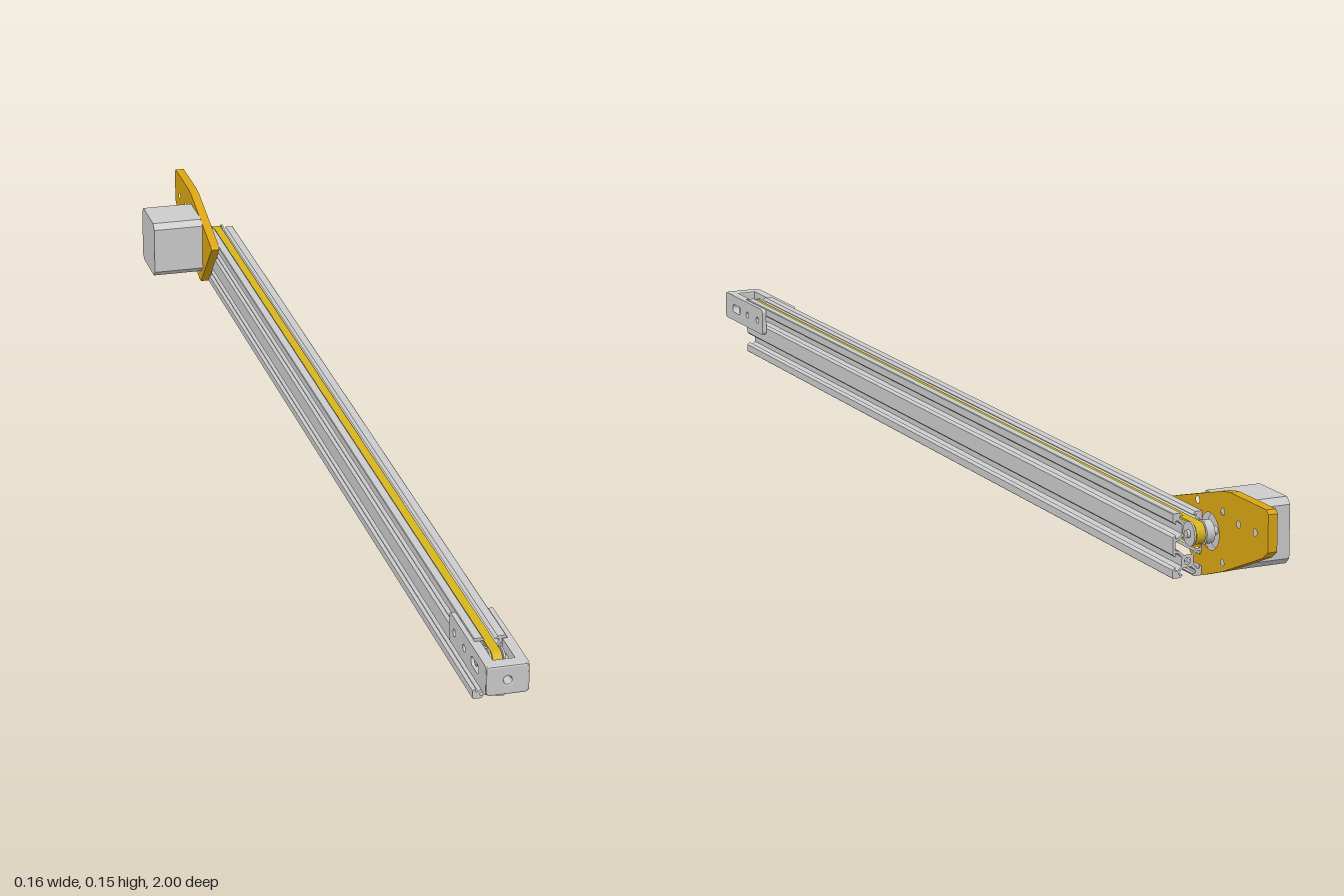
import * as THREE from 'three';

const MM = 0.0025;           // model units per millimetre
const CX = 0.047;            // centre line of the rail
const AXIS_Y = 0.0745;       // height of both pulley axes
const MOTOR_Z = -0.825, IDLER_Z = 0.935;

const grey = new THREE.MeshStandardMaterial({ color: 0xcccccc });
const gold = new THREE.MeshStandardMaterial({ color: 0xdaa514 });
const yellow = new THREE.MeshStandardMaterial({ color: 0xd8b51c });

const toShape = pts => new THREE.Shape(pts.map(p => new THREE.Vector2(p[0], p[1])));
const circle = (x, y, r) => new THREE.Path().absarc(x, y, r, 0, Math.PI * 2, true);

// Rounded slot along the first axis, half length h and end radius r
function slot(x, y, h, r, Kind = THREE.Path) {
  const p = new Kind();
  p.absarc(x + h, y, r, -Math.PI / 2, Math.PI / 2, false);
  p.absarc(x - h, y, r, Math.PI / 2, Math.PI * 1.5, false);
  p.closePath();
  return p;
}

function roundRect(x0, y0, x1, y1, r) {
  const s = new THREE.Shape();
  s.absarc(x1 - r, y0 + r, r, -Math.PI / 2, 0, false);
  s.absarc(x1 - r, y1 - r, r, 0, Math.PI / 2, false);
  s.absarc(x0 + r, y1 - r, r, Math.PI / 2, Math.PI, false);
  s.absarc(x0 + r, y0 + r, r, Math.PI, Math.PI * 1.5, false);
  s.closePath();
  return s;
}

// Extrudes a (z, y) outline sideways from x0 to x1
function sideways(shape, x0, x1) {
  const g = new THREE.ExtrudeGeometry(shape, { depth: x1 - x0, bevelEnabled: false, curveSegments: 16 });
  return g.rotateY(-Math.PI / 2).translate(x1, 0, 0);
}

// Cylinder lying along x
function axle(r, x0, x1, y, z, sides = 32) {
  return new THREE.CylinderGeometry(r, r, x1 - x0, sides).rotateZ(Math.PI / 2).translate((x0 + x1) / 2, y, z);
}

// Double slotted profile, mirrored from one quarter
function railGeometry() {
  const q = [[2.8, 13.9], [5.5, 16.6], [5.5, 18.2], [3.1, 18.2], [4.7, 20], [9.6, 20], [10, 19.6],
    [10, 14.7], [8.2, 13.1], [8.2, 15.5], [6.6, 15.5], [3.9, 12.8], [3.9, 7.2], [6.6, 4.5],
    [8.2, 4.5], [8.2, 6.9], [10, 5.3]];
  const mirror = (sx, sy) => q.map(([x, y]) => [x * sx, y * sy]);
  const outline = [...mirror(1, 1), ...mirror(1, -1).reverse(), ...mirror(-1, -1), ...mirror(-1, 1).reverse()];
  const s = toShape(outline);
  s.holes.push(circle(0, 10, 2.1), circle(0, -10, 2.1));
  const c = [[2.8, 6.1], [5.7, 3.2], [8.2, 2.7]];
  s.holes.push(toShape([...c, ...c.map(([x, y]) => [x, -y]).reverse(),
    ...c.map(([x, y]) => [-x, -y]), ...c.map(([x, y]) => [-x, y]).reverse()]));
  const g = new THREE.ExtrudeGeometry(s, { depth: 1.71 / MM, bevelEnabled: false, curveSegments: 12 });
  return g.scale(MM, MM, MM).translate(CX, 0.05, -0.8);
}

export function createModel() {
  const model = new THREE.Group();
  const add = (name, geometry, material = grey) => {
    const m = new THREE.Mesh(geometry, material);
    m.name = name;
    model.add(m);
    return m;
  };

  add('rail', railGeometry());

  // Motor mounting plate with pilot, motor screw and fixing holes
  const plate = toShape([[-0.7, 0.096], [-0.79, 0.0], [-0.8, 0.0], [-0.865, 0.022], [-0.985, 0.073], [-1, 0.085],
    [-1, 0.142], [-0.994, 0.148], [-0.885, 0.148], [-0.86, 0.144], [-0.705, 0.1]]);
  plate.holes.push(circle(MOTOR_Z, AXIS_Y, 0.0285));
  for (const [z, y] of [[-0.786, 0.1135], [-0.864, 0.1135], [-0.864, 0.0355], [-0.786, 0.0355],
    [-0.912, 0.106], [-0.962, 0.106]]) plate.holes.push(circle(z, y, 0.0055));
  add('motorPlate', sideways(plate, 0.008, 0.0235), gold);

  // Motor with chamfered edges, pilot boss and shaft
  const h = 0.0515, c = 0.01;
  const body = toShape([[h - c, -h], [h, -h + c], [h, h - c], [h - c, h], [-h + c, h], [-h, h - c], [-h, -h + c], [-h + c, -h]]);
  add('motorBody', sideways(body, -0.083, 0.008).translate(0, AXIS_Y, MOTOR_Z));
  add('motorBoss', axle(0.0275, 0.006, 0.013, AXIS_Y, MOTOR_Z));
  add('motorShaft', axle(0.00625, 0.01, 0.064, AXIS_Y, MOTOR_Z));

  // Drive pulley and idler: flange, drum, flange
  for (const [name, z, hub] of [['drivePulley', MOTOR_Z, 0.012], ['idlerPulley', IDLER_Z, 0]]) {
    add(name + 'Drum', axle(0.0135, CX - 0.009, CX + 0.009, AXIS_Y, z));
    for (const s of [-1, 1]) add(name + 'Flange', axle(0.019, CX + s * 0.0105 - 0.0015, CX + s * 0.0105 + 0.0015, AXIS_Y, z));
    if (hub) add(name + 'Hub', axle(0.018, CX - 0.023, CX - 0.011, AXIS_Y, z));
  }

  // Belt loop through the upper slot and the inner cavity
  const mid = (MOTOR_Z + IDLER_Z) / 2, half = (IDLER_Z - MOTOR_Z) / 2;
  const loop = slot(mid, AXIS_Y, half, 0.0172, THREE.Shape);
  loop.holes.push(slot(mid, AXIS_Y, half, 0.0137));
  add('belt', sideways(loop, CX - 0.0075, CX + 0.0075), yellow);

  // Belt tensioner: two slotted cheeks
  const bottom = 0.051, top = 0.0985;
  for (const s of [-1, 1]) {
    const cheek = roundRect(0.812, bottom, 0.998, top, 0.007);
    cheek.holes.push(slot(0.943, AXIS_Y, 0.012, 0.0075), circle(0.888, AXIS_Y, 0.006), circle(0.838, AXIS_Y, 0.006));
    const outer = CX + s * 0.033, inner = CX + s * 0.0255;
    add('tensionerCheek', sideways(cheek, Math.min(outer, inner), Math.max(outer, inner)));
    // Thicker wall ahead of the rail end
    const wall = roundRect(0.914, bottom, 0.985, top, 0.002);
    wall.holes.push(slot(0.943, AXIS_Y, 0.012, 0.0075));
    const a = CX + s * 0.0256, b = CX + s * 0.017;
    add('tensionerInnerWall', sideways(wall, Math.min(a, b), Math.max(a, b)));
  }

  // Tensioner front wall with bevelled face and screw hole
  const face = roundRect(CX - 0.03, bottom + 0.003, CX + 0.03, top - 0.003, 0.004);
  face.holes.push(circle(CX, AXIS_Y, 0.009));
  add('tensionerFront', new THREE.ExtrudeGeometry(face, {
    depth: 0.018, bevelEnabled: true, bevelThickness: 0.003, bevelSize: 0.003, bevelSegments: 2, curveSegments: 12,
  }).translate(0, 0, 0.979));
  add('idlerAxle', axle(0.006, CX - 0.029, CX + 0.029, AXIS_Y, IDLER_Z, 24));

  return model;
}
